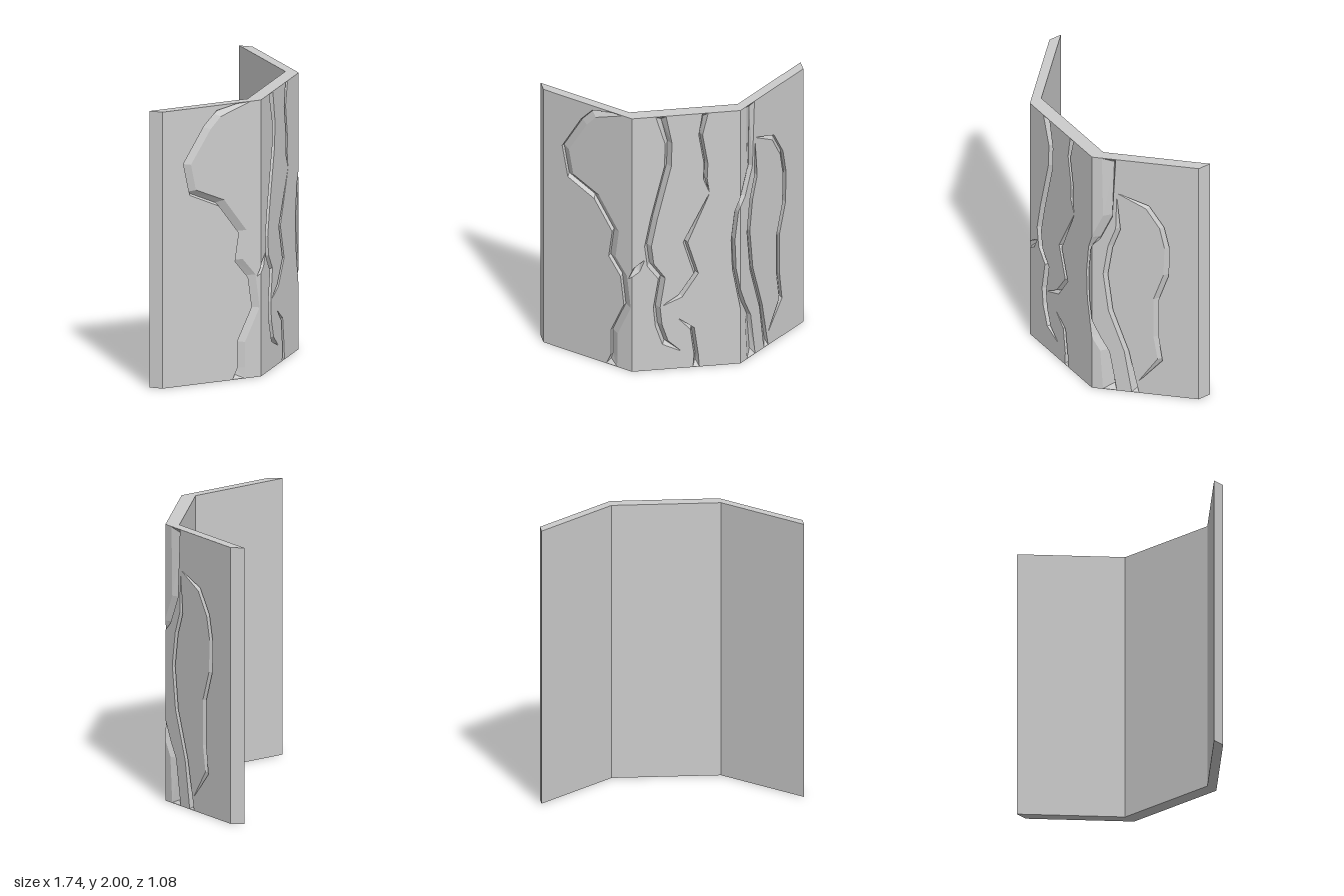
import * as THREE from 'three';

const HEIGHT = 2;
// Plan of the front face (x, z) and the offset from front to back
const FRONT = [[-0.83, 0.25], [-0.13, 0.54], [0.58, 0.25], [0.87, -0.45]];
const BACK_X = -0.04, BACK_Z = -0.09;
const GROOVE_DEPTH = 0.5; // share of the wall thickness
const SIDE_SQUASH = 0.38; // x run per unit of width on the steep side panel

// Points below are [x, y, depth] on the unfolded front
const lerp = (p, q, t) => p.map((v, i) => v + (q[i] - v) * t);

// Both rims of a groove from its centre line: it flares where it meets the
// top or bottom of the wall and narrows to a tip elsewhere
function groove(width, path, squash = 1) {
  const last = path.length - 1;
  const a = [], b = [];
  path.forEach(([x, y], i) => {
    const [x0, y0] = path[Math.max(0, i - 1)], [x1, y1] = path[Math.min(last, i + 1)];
    const onEdge = y === 0 || y === HEIGHT;
    const tx = onEdge ? 0 : (x1 - x0) / squash, ty = y1 - y0;
    const share = onEdge ? 1.5 : i === 0 || i === last ? 0.1 : 1;
    const half = width / 2 * share / Math.hypot(tx, ty);
    const safeY = Math.min(HEIGHT - 0.003, Math.max(0.003, y));
    a.push([x - ty * half * squash, safeY + tx * half, 0]);
    b.push([x + ty * half * squash, safeY - tx * half, 0]);
  });
  return { a, b };
}

function makeGrooves() {
  return [
    // long crack beside the first fold
    groove(0.055, [[-0.25, 2], [-0.43, 1.94], [-0.51, 1.85], [-0.655, 1.6], [-0.615, 1.39], [-0.41, 1.29],
      [-0.26, 1.065], [-0.287, 0.86], [-0.195, 0.735], [-0.167, 0.505], [-0.27, 0.27], [-0.27, 0.08], [-0.29, 0]]),
    // short link between the two cracks
    groove(0.05, [[-0.05, 0.87], [-0.1, 0.8], [-0.155, 0.73]]),
    // middle crack
    groove(0.045, [[0.06, 2], [0.11, 1.78], [0.105, 1.6], [0.015, 1.2], [-0.025, 0.98], [-0.008, 0.83],
      [0.065, 0.72], [0.032, 0.49], [0.045, 0.35], [0.088, 0.21], [0.185, 0.14]]),
    // zigzag crack, upper and lower
    groove(0.025, [[0.35, 2], [0.32, 1.83], [0.355, 1.6], [0.35, 1.48], [0.375, 1.38]]),
    groove(0.03, [[0.374, 1.355], [0.22, 0.99], [0.29, 0.74], [0.187, 0.57], [0.075, 0.505]]),
    // short crack at the foot
    groove(0.028, [[0.177, 0.39], [0.265, 0.305], [0.29, 0.1], [0.29, 0]]),
    // crack across the second fold
    groove(0.025, [[0.626, 2], [0.623, 1.5], [0.59, 1.3], [0.555, 1.2], [0.532, 0.98],
      [0.54, 0.75], [0.59, 0.45], [0.615, 0.33], [0.629, 0]]),
    // inner and outer arms of the loop on the side panel
    groove(0.034, [[0.648, 1.66], [0.651, 1.4], [0.63, 1.24], [0.617, 1], [0.631, 0.69],
      [0.674, 0.35], [0.698, 0]], SIDE_SQUASH),
    groove(0.036, [[0.6525, 1.705], [0.731, 1.615], [0.77, 1.45], [0.784, 1.275], [0.781, 1.04],
      [0.754, 0.825], [0.754, 0.5], [0.765, 0.305], [0.708, 0.105]], SIDE_SQUASH),
  ];
}

// Cut a polygon at x = limit, keeping one side
function clip(poly, limit, side) {
  const out = [];
  poly.forEach((p, i) => {
    const q = poly[(i + 1) % poly.length];
    const dp = (p[0] - limit) * side, dq = (q[0] - limit) * side;
    if (dp >= 0) out.push(p);
    if (dp * dq < 0) out.push(lerp(p, q, dp / (dp - dq)));
  });
  return out;
}

// Fold a flat triangle over the panels, always facing forward
function addFolded(out, a, b, c) {
  const area = (b[0] - a[0]) * (c[1] - a[1]) - (b[1] - a[1]) * (c[0] - a[0]);
  if (Math.abs(area) < 1e-9) return;
  const tri = area > 0 ? [a, b, c] : [a, c, b];
  for (let i = 0; i < 3; i++) {
    const [x0, z0] = FRONT[i], [x1, z1] = FRONT[i + 1];
    const pos = clip(clip(tri, x0, 1), x1, -1).map(([x, y, d]) =>
      [x + BACK_X * d, y, z0 + (z1 - z0) * (x - x0) / (x1 - x0) + BACK_Z * d]);
    for (let k = 1; k + 1 < pos.length; k++) out.push(...pos[0], ...pos[k], ...pos[k + 1]);
  }
}

function makeMesh(name, positions) {
  const geometry = new THREE.BufferGeometry();
  geometry.setAttribute('position', new THREE.Float32BufferAttribute(positions, 3));
  geometry.computeVertexNormals();
  const mesh = new THREE.Mesh(geometry, new THREE.MeshStandardMaterial({ color: 0xcccccc, flatShading: true }));
  mesh.name = name;
  return mesh;
}

// Front face with the groove outlines left open
function frontFace(grooves) {
  const xl = FRONT[0][0], xr = FRONT[3][0];
  const contour = [[xl, 0], [xr, 0], [xr, HEIGHT], [xl, HEIGHT]].map(p => new THREE.Vector2(...p));
  const holes = grooves.map(({ a, b }) => [...a, ...[...b].reverse()].map(p => new THREE.Vector2(p[0], p[1])));
  const points = [contour, ...holes].flat().map(p => [p.x, p.y, 0]);
  const out = [];
  for (const [i, j, k] of THREE.ShapeUtils.triangulateShape(contour, holes)) {
    addFolded(out, points[i], points[j], points[k]);
  }
  return makeMesh('frontFace', out);
}

// V-shaped channel walls with sloping ends
function grooveWalls(grooves) {
  const out = [];
  for (const { a, b } of grooves) {
    const n = a.length - 1;
    const mid = a.map((p, i) => lerp(p, b[i], 0.5));
    const valley = mid.map(p => [p[0], p[1], GROOVE_DEPTH]);
    for (const [end, next] of [[0, 1], [n, n - 1]]) {
      const gap = Math.hypot(mid[end][0] - mid[next][0], mid[end][1] - mid[next][1]);
      const p = lerp(mid[end], mid[next], Math.min(0.4, 0.04 / gap));
      valley[end] = [p[0], p[1], GROOVE_DEPTH];
      addFolded(out, a[end], b[end], valley[end]);
    }
    for (let i = 0; i < n; i++) {
      for (const rim of [a, b]) {
        addFolded(out, rim[i], rim[i + 1], valley[i]);
        addFolded(out, rim[i + 1], valley[i + 1], valley[i]);
      }
    }
  }
  return makeMesh('grooves', out);
}

// Back, top, bottom and both ends
function backAndEdges() {
  const out = [];
  const quad = (a, b, c, d) => out.push(...a, ...b, ...c, ...a, ...c, ...d);
  const f = (i, y) => [FRONT[i][0], y, FRONT[i][1]];
  const r = (i, y) => [FRONT[i][0] + BACK_X, y, FRONT[i][1] + BACK_Z];
  const H = HEIGHT;
  for (let i = 0; i < 3; i++) {
    quad(r(i + 1, 0), r(i, 0), r(i, H), r(i + 1, H));
    quad(f(i, H), f(i + 1, H), r(i + 1, H), r(i, H));
    quad(r(i, 0), r(i + 1, 0), f(i + 1, 0), f(i, 0));
  }
  quad(r(0, 0), f(0, 0), f(0, H), r(0, H));
  quad(f(3, 0), r(3, 0), r(3, H), f(3, H));
  return makeMesh('backAndEdges', out);
}

export function createModel() {
  const grooves = makeGrooves();
  const group = new THREE.Group();
  group.name = 'crackedFoldedWall';
  group.add(frontFace(grooves), grooveWalls(grooves), backAndEdges());
  return group;
}
